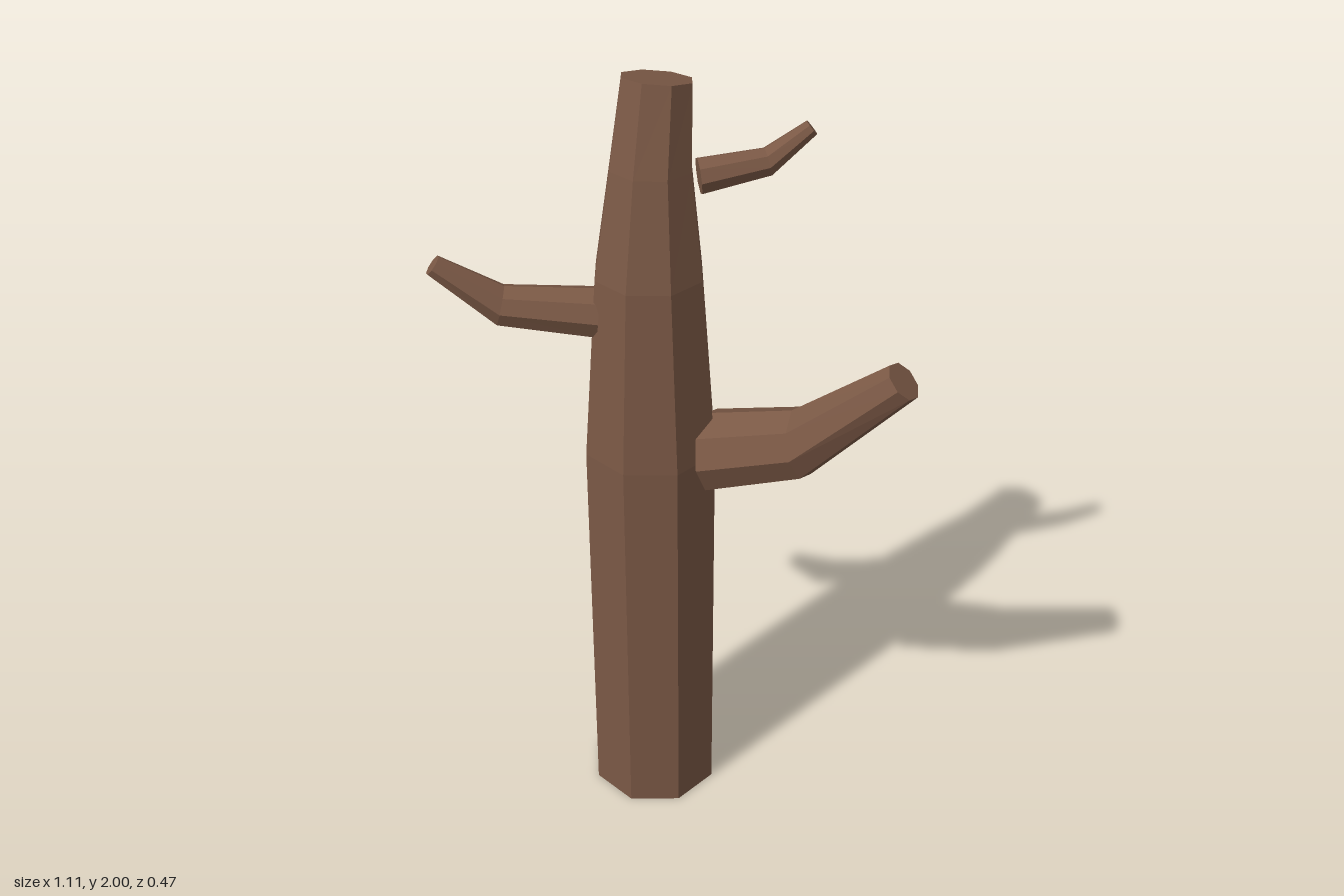
import * as THREE from 'three';

const SIDES = 8;
const bark = new THREE.MeshStandardMaterial({ color: 0x7a5845, flatShading: true });
const UP = new THREE.Vector3(0, 1, 0);

// Closed octagonal limb lofted through rings [x, y, z, radius, pitch in degrees].
// heading is the horizontal direction the limb leans or grows toward.
function limb(name, hx, hz, rings) {
  const heading = new THREE.Vector3(hx, 0, hz).normalize();
  const side = heading.clone().cross(UP);
  const pos = [], index = [];

  for (const [x, y, z, r, pitch] of rings) {
    const p = THREE.MathUtils.degToRad(pitch);
    const axis = heading.clone().multiplyScalar(Math.cos(p)).addScaledVector(UP, Math.sin(p));
    const v = axis.cross(side);
    for (let j = 0; j < SIDES; j++) {
      const a = (j / SIDES) * Math.PI * 2;
      const q = new THREE.Vector3(x, y, z)
        .addScaledVector(side, r * Math.cos(a))
        .addScaledVector(v, r * Math.sin(a));
      pos.push(q.x, q.y, q.z);
    }
  }

  // side faces
  for (let i = 0; i < rings.length - 1; i++) {
    for (let j = 0; j < SIDES; j++) {
      const k = (j + 1) % SIDES;
      const a = i * SIDES + j, b = i * SIDES + k;
      index.push(a, b, b + SIDES, a, b + SIDES, a + SIDES);
    }
  }
  // end caps
  const last = (rings.length - 1) * SIDES;
  for (let j = 1; j < SIDES - 1; j++) {
    index.push(0, j + 1, j);
    index.push(last, last + j, last + j + 1);
  }

  const geo = new THREE.BufferGeometry();
  geo.setAttribute('position', new THREE.Float32BufferAttribute(pos, 3));
  geo.setIndex(index);
  const flat = geo.toNonIndexed();
  flat.computeVertexNormals();
  const mesh = new THREE.Mesh(flat, bark);
  mesh.name = name;
  return mesh;
}

export function createModel() {
  const tree = new THREE.Group();
  tree.name = 'bareTree';

  // trunk: straight below, tapering and bending backward near the top
  tree.add(limb('trunk', 0, -1, [
    [-0.095, 0, 0, 0.168, 90],
    [-0.095, 1.07, 0, 0.168, 89],
    [-0.095, 1.535, -0.002, 0.133, 88],
    [-0.095, 1.79, -0.02, 0.099, 86],
    [-0.095, 1.982, -0.06, 0.084, 78],
  ]));

  // thick lower branch on the left
  tree.add(limb('largeBranch', 1, 0, [
    [0.057, 1.07, -0.017, 0.102, 10],
    [0.283, 1.145, -0.02, 0.088, 18],
    [0.518, 1.37, -0.02, 0.049, 46],
  ]));

  // middle branch on the right, growing forward
  tree.add(limb('middleBranch', -0.9, 0.42, [
    [-0.2, 1.437, 0.057, 0.062, 5],
    [-0.405, 1.46, 0.147, 0.05, 14],
    [-0.538, 1.568, 0.21, 0.026, 38],
  ]));

  // thin upper branch on the left, growing backward
  tree.add(limb('smallBranch', 0.86, -0.52, [
    [-0.005, 1.753, -0.085, 0.043, 5],
    [0.128, 1.775, -0.17, 0.034, 14],
    [0.212, 1.85, -0.222, 0.02, 38],
  ]));

  return tree;
}
